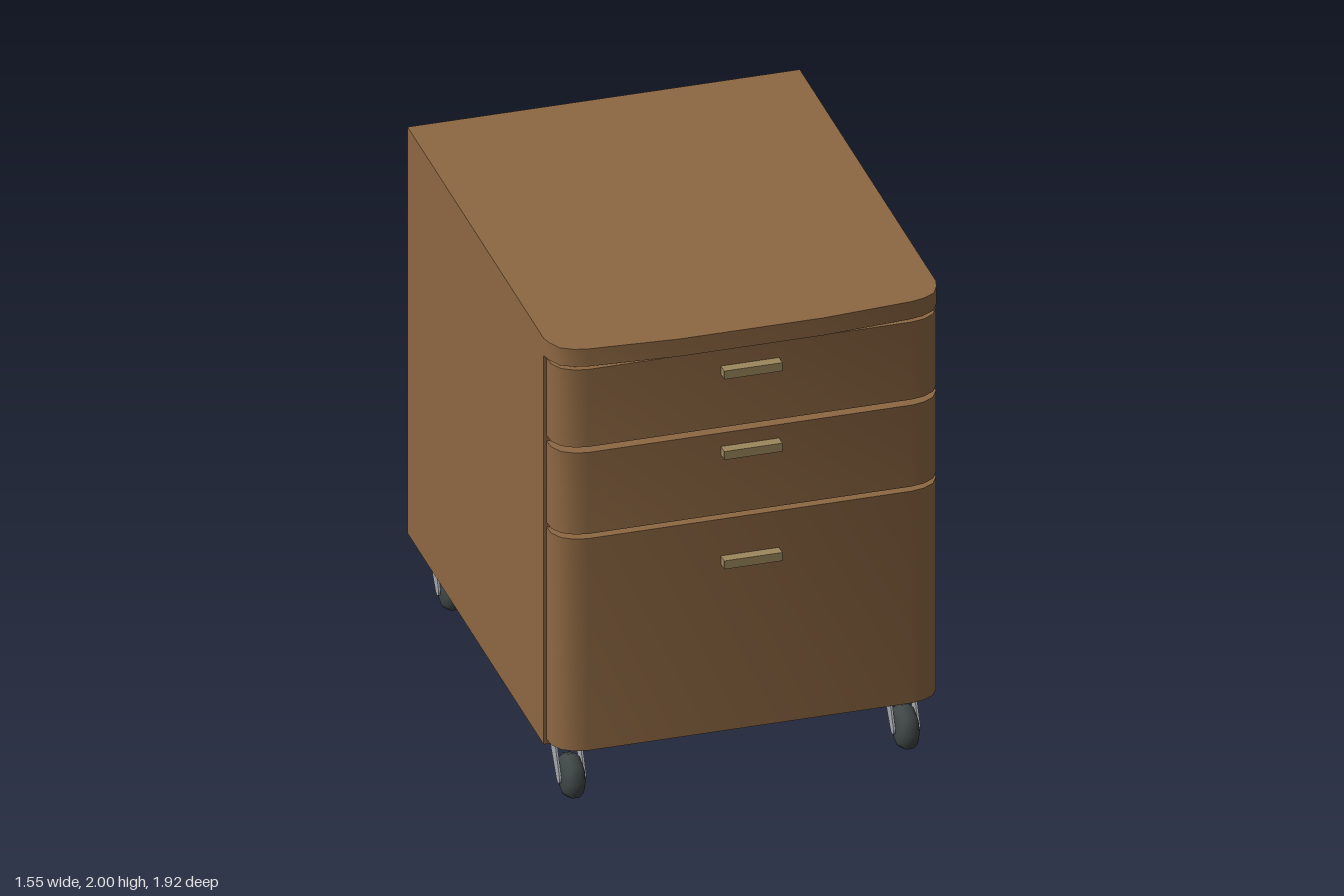
import * as THREE from 'three';
import { toCreasedNormals } from 'three/addons/utils/BufferGeometryUtils.js';

const material = (name, color) => {
  const m = new THREE.MeshStandardMaterial({ color });
  m.name = name;
  return m;
};

export function createModel() {
  const wood = material('brown wood', 0x8d6742);
  const tan = material('tan handle', 0x9c875c);
  const metal = material('grey metal', 0xa4a9ae);
  const rubber = material('dark rubber', 0x3f4747);

  const model = new THREE.Group();
  model.name = 'drawerCabinet';

  const add = (parent, name, geometry, mat, x = 0, y = 0, z = 0) => {
    const mesh = new THREE.Mesh(geometry, mat);
    mesh.name = name;
    mesh.position.set(x, y, z);
    parent.add(mesh);
    return mesh;
  };

  // Mirrored plan outline (x, z) raised between two heights
  const slab = (half, y0, y1) => {
    const pts = [...half, ...half.map(([x, z]) => [-x, z]).reverse()];
    const shape = new THREE.Shape(pts.map(([x, z]) => new THREE.Vector2(x, z)));
    const g = new THREE.ExtrudeGeometry(shape, { depth: y1 - y0, bevelEnabled: false });
    g.rotateX(Math.PI / 2).translate(0, y1, 0);
    return toCreasedNormals(g, 0.8);
  };

  // Carcass and overhanging, bowed top lip
  add(model, 'body', new THREE.BoxGeometry(1.55, 1.746, 1.75), wood, 0, 1.127, -0.085);
  const lip = [[0.775, 0.79], [0.765, 0.83], [0.74, 0.88], [0.69, 0.908], [0.64, 0.92], [0.285, 0.946]];
  add(model, 'topLip', slab(lip, 1.925, 2), wood);

  // Drawer fronts with rounded corners, each with a bar handle
  const front = [[0.763, 0.79], [0.76, 0.84], [0.735, 0.885], [0.69, 0.912], [0.64, 0.922]];
  const drawers = [[1.58, 1.913, 1.826], [1.206, 1.556, 1.48], [0.275, 1.186, 1.01]];
  drawers.forEach(([y0, y1, handleY], i) => {
    add(model, `drawerFront${i + 1}`, slab(front, y0, y1), wood);
    add(model, `handle${i + 1}`, new THREE.BoxGeometry(0.23, 0.036, 0.045), tan, 0, handleY, 0.942);
  });

  // Pale strip seen in the gap between the upper drawers
  add(model, 'gapStrip', new THREE.BoxGeometry(1.4, 0.022, 0.008), tan, 0, 1.568, 0.794);

  // Swivel casters: plate, pair of slanted arms, eight-sided wheel
  const profile = [[0, -0.043], [0.045, -0.043], [0.075, -0.034], [0.092, -0.015],
    [0.092, 0.015], [0.075, 0.034], [0.045, 0.043], [0, 0.043]];
  const wheelGeometry = new THREE.LatheGeometry(profile.map(([r, h]) => new THREE.Vector2(r, h)), 8);
  wheelGeometry.rotateZ(Math.PI / 2);
  const plateGeometry = new THREE.CylinderGeometry(0.073, 0.073, 0.036, 16);
  const armShape = new THREE.Shape();
  armShape.moveTo(0.045, 0.225);
  armShape.lineTo(-0.04, 0.225);
  armShape.lineTo(-0.1, 0.1);
  armShape.absarc(-0.078, 0.092, 0.023, Math.PI * 0.85, Math.PI * 1.85, false);
  const armGeometry = new THREE.ExtrudeGeometry(armShape, { depth: 0.008, bevelEnabled: false, curveSegments: 5 });
  armGeometry.rotateY(Math.PI / 2).translate(-0.004, 0, 0);

  for (const x of [-0.66, 0.66]) {
    for (const z of [0.692, -0.863]) {
      const caster = new THREE.Group();
      caster.name = `${z > 0 ? 'front' : 'back'}${x > 0 ? 'Left' : 'Right'}Caster`;
      caster.position.set(x, 0, z);
      add(caster, 'mountPlate', plateGeometry, metal, 0, 0.237, 0);
      add(caster, 'wheel', wheelGeometry, rubber, 0, 0.094, 0.078);
      for (const side of [-1, 1]) add(caster, 'forkArm', armGeometry, metal, side * 0.049, 0, 0);
      model.add(caster);
    }
  }
  return model;
}
